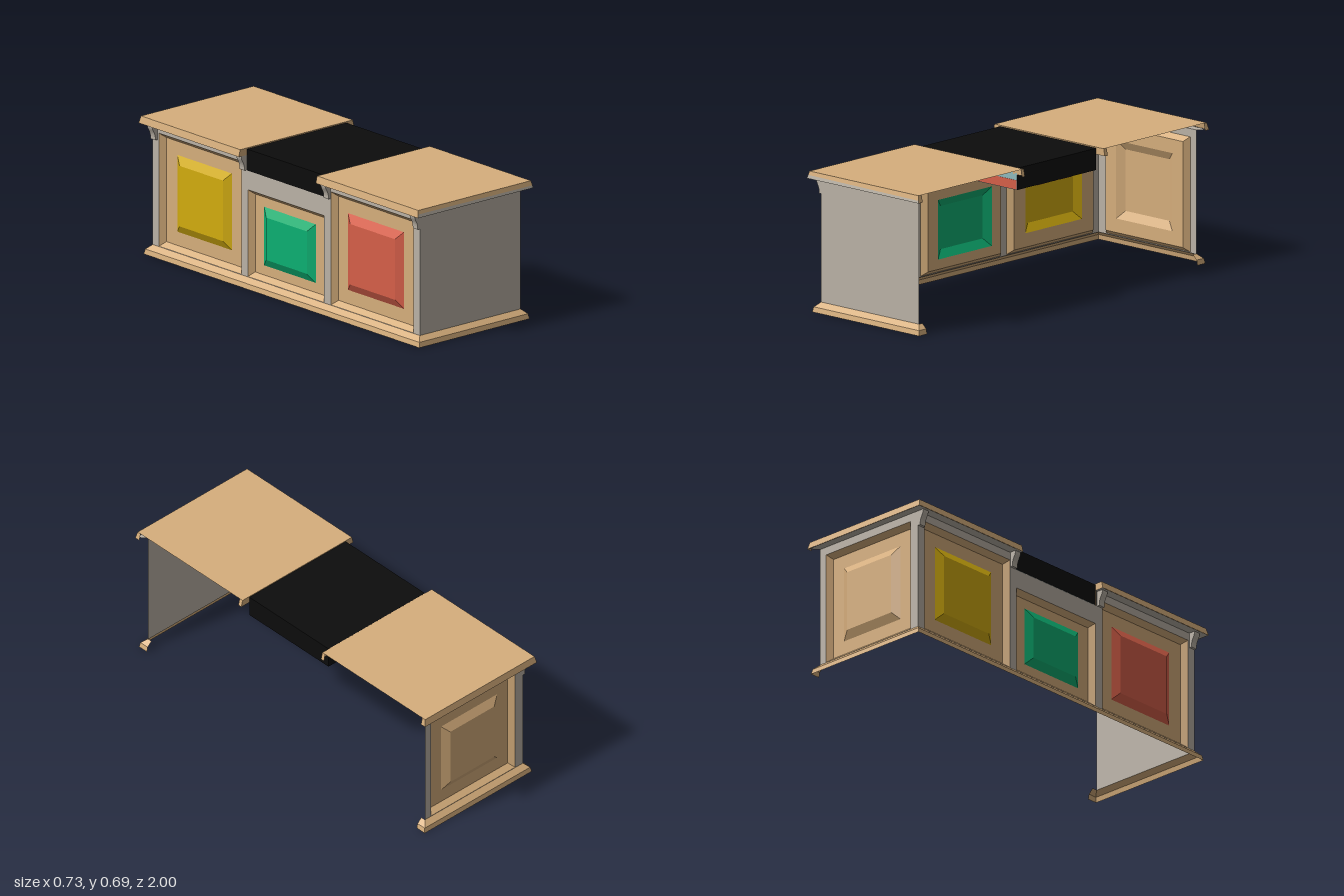
import * as THREE from 'three';

const mat = (name, color) => {
  const m = new THREE.MeshStandardMaterial({ color, side: THREE.DoubleSide });
  m.name = name;
  return m;
};

export function createModel() {
  const tan = mat('tan wood', 0xd6ae7c), gray = mat('warm gray', 0xbab2a6);
  const red = mat('red', 0xd65f49), green = mat('green', 0x0cb072), yellow = mat('yellow', 0xd2ac0e);
  const black = mat('black', 0x0c0c0c), teal = mat('pale teal', 0x8fbabd);

  const model = new THREE.Group();
  model.name = 'counter';
  const add = (name, geometry, material, parent = model) => {
    const m = new THREE.Mesh(geometry, material);
    m.name = name;
    parent.add(m);
    return m;
  };

  // Flat-shaded skin between successive rows of points
  const skin = (rows) => {
    const p = [];
    for (let i = 0; i < rows.length - 1; i++)
      for (let j = 0; j < rows[i].length - 1; j++) {
        const a = rows[i][j], b = rows[i][j + 1], c = rows[i + 1][j + 1], d = rows[i + 1][j];
        p.push(...a, ...b, ...c, ...a, ...c, ...d);
      }
    const g = new THREE.BufferGeometry();
    g.setAttribute('position', new THREE.Float32BufferAttribute(p, 3));
    g.computeVertexNormals();
    return g;
  };

  // Mitred moulding: path of [x, z, outX, outZ], profile of [offset, y]
  const moulding = (path, profile) =>
    skin(profile.map(([o, y]) => path.map(([x, z, ox, oz]) => [x + o * ox, y, z + o * oz])));

  // Rectangle [u0, u1, v0, v1] helpers
  const inset = ([a, b, c, d], k) => [a + k, b - k, c + k, d - k];
  const ring = ([a, b, c, d], z) => [[a, c, z], [b, c, z], [b, d, z], [a, d, z], [a, c, z]];
  const plate = ([a, b, c, d], z) => skin([[[a, c, z], [b, c, z]], [[a, d, z], [b, d, z]]]);

  // Recessed frame with a raised field, facing local +z
  const DEPTH = 0.028;
  const panel = (name, parent, outer, field, fieldMaterial) => {
    const g = new THREE.Group();
    g.name = name;
    parent.add(g);
    add('panelFrame', skin([ring(outer, 0), ring(inset(outer, 0.022), -DEPTH), ring(field, -DEPTH)]), tan, g);
    const top = inset(field, 0.04);
    add('raisedBevel', skin([ring(field, -DEPTH), ring(top, -0.006)]), fieldMaterial, g);
    add('raisedField', plate(top, -0.006), fieldMaterial, g);
  };

  // Wall sheet with openings
  const wall = (name, outline, openings, parent) => {
    const s = new THREE.Shape(outline.map(([x, y]) => new THREE.Vector2(x, y)));
    for (const o of openings)
      s.holes.push(new THREE.Path(ring(o, 0).slice(0, 4).reverse().map(([x, y]) => new THREE.Vector2(x, y))));
    add(name, new THREE.ShapeGeometry(s), gray, parent);
  };
  const side = (name, x, z, turn) => {
    const g = new THREE.Group();
    g.name = name;
    g.position.set(x, 0, z);
    g.rotation.y = turn;
    model.add(g);
    return g;
  };

  const X0 = -0.315, X1 = 0.32, ZE = 0.955, TOP = 0.65;

  // Long panelled side, local x runs along z
  const long = side('longSide', X0, 0, -Math.PI / 2);
  const bays = [
    ['redPanel', [0.32, 0.91, 0.05, 0.61], [0.41, 0.81, 0.14, 0.52], red],
    ['greenPanel', [-0.275, 0.27, 0.05, 0.48], [-0.19, 0.18, 0.12, 0.41], green],
    ['yellowPanel', [-0.91, -0.32, 0.05, 0.61], [-0.81, -0.42, 0.14, 0.52], yellow],
  ];
  wall('longWall', [[-ZE, 0.045], [ZE, 0.045], [ZE, TOP], [0.275, TOP], [0.275, 0.575],
    [-0.28, 0.575], [-0.28, TOP], [-ZE, TOP]], bays.map((b) => b[1]), long);
  for (const [name, outer, field, m] of bays) panel(name, long, outer, field, m);

  // Panelled end, and the plain end opposite
  const back = side('panelledEnd', 0, -ZE, Math.PI);
  const endFrame = [-0.28, 0.265, 0.05, 0.61];
  wall('endWall', [[-X1, 0.045], [-X0, 0.045], [-X0, TOP], [-X1, TOP]], [endFrame], back);
  panel('endPanel', back, endFrame, [-0.19, 0.175, 0.14, 0.52], tan);
  const front = side('plainEnd', 0, ZE, 0);
  wall('plainWall', [[X0, 0.045], [X1, 0.045], [X1, TOP], [X0, TOP]], [], front);

  // Base moulding on three sides with short returns
  add('baseMoulding', moulding([
    [X1, ZE - 0.025, 1, 0], [X1, ZE, 1, 1], [X0, ZE, -1, 1],
    [X0, -ZE, -1, -1], [X1, -ZE, 1, -1], [X1, -ZE + 0.025, 1, 0],
  ], [[0, 0.048], [0.025, 0.025], [0.03, 0]]), tan);

  // Two counter tops with sloping edges
  const L = -0.357, R = 0.353;
  for (const s of [1, -1]) {
    const inner = s > 0 ? 0.268 : 0.282, outer = 0.991;
    const name = s > 0 ? 'front' : 'rear';
    add(name + 'CounterTop', skin([[[L, 0.685, s * inner], [L, 0.685, s * outer]],
      [[R, 0.685, s * inner], [R, 0.685, s * outer]]]), tan);
    add(name + 'CounterEdge', moulding([
      [R, s * (inner + 0.02), 1, 0], [R, s * inner, 1, 0], [L, s * inner, -1, 0],
      [L, s * outer, -1, s], [R, s * outer, 1, s], [R, s * (outer - 0.02), 1, 0],
    ], [[0, 0.685], [0.008, TOP]]), tan);
    // Soffit between wall and counter edge
    add(name + 'Soffit', skin([
      [[X1, TOP, s * ZE], [X0, TOP, s * ZE], [X0, TOP, s * inner]],
      [[0.355, TOP, s * 0.998], [-0.364, TOP, s * 0.998], [-0.364, TOP, s * inner]],
    ]), gray);
  }
  add('frontEdgeBand', skin([[[-0.361, 0.667, 0.9965], [0.357, 0.662, 0.9975]],
    [[-0.365, TOP, 1.0], [0.361, TOP, 1.0]]]), gray);

  // Scrolled corbels under the overhang
  const c = new THREE.Shape();
  c.moveTo(X0, TOP);
  c.lineTo(-0.349, TOP);
  c.bezierCurveTo(-0.349, 0.62, -0.328, 0.62, -0.328, 0.575);
  c.lineTo(X0, 0.575);
  const corbel = new THREE.ExtrudeGeometry(c, { depth: 0.035, bevelEnabled: false, curveSegments: 8 });
  for (const z of [-ZE, -0.318, 0.283, ZE - 0.035]) add('corbel', corbel, gray).position.z = z;

  // Black centre box with a banded underside
  const box = add('centreBox', new THREE.BoxGeometry(0.625, 0.106, 0.546),
    [black, black, black, teal, teal, black]);
  box.position.set(-0.004, 0.628, -0.005);
  for (const [z, w] of [[-0.072, 0.085], [-0.014, 0.01], [0.006, 0.01], [0.026, 0.01], [0.085, 0.085]])
    add('undersideBand', new THREE.BoxGeometry(0.62, 0.003, w), red).position.set(-0.004, 0.574, z);
  add('boxEndBand', new THREE.BoxGeometry(0.62, 0.045, 0.003), red).position.set(-0.004, 0.6, 0.268);

  return model;
}
